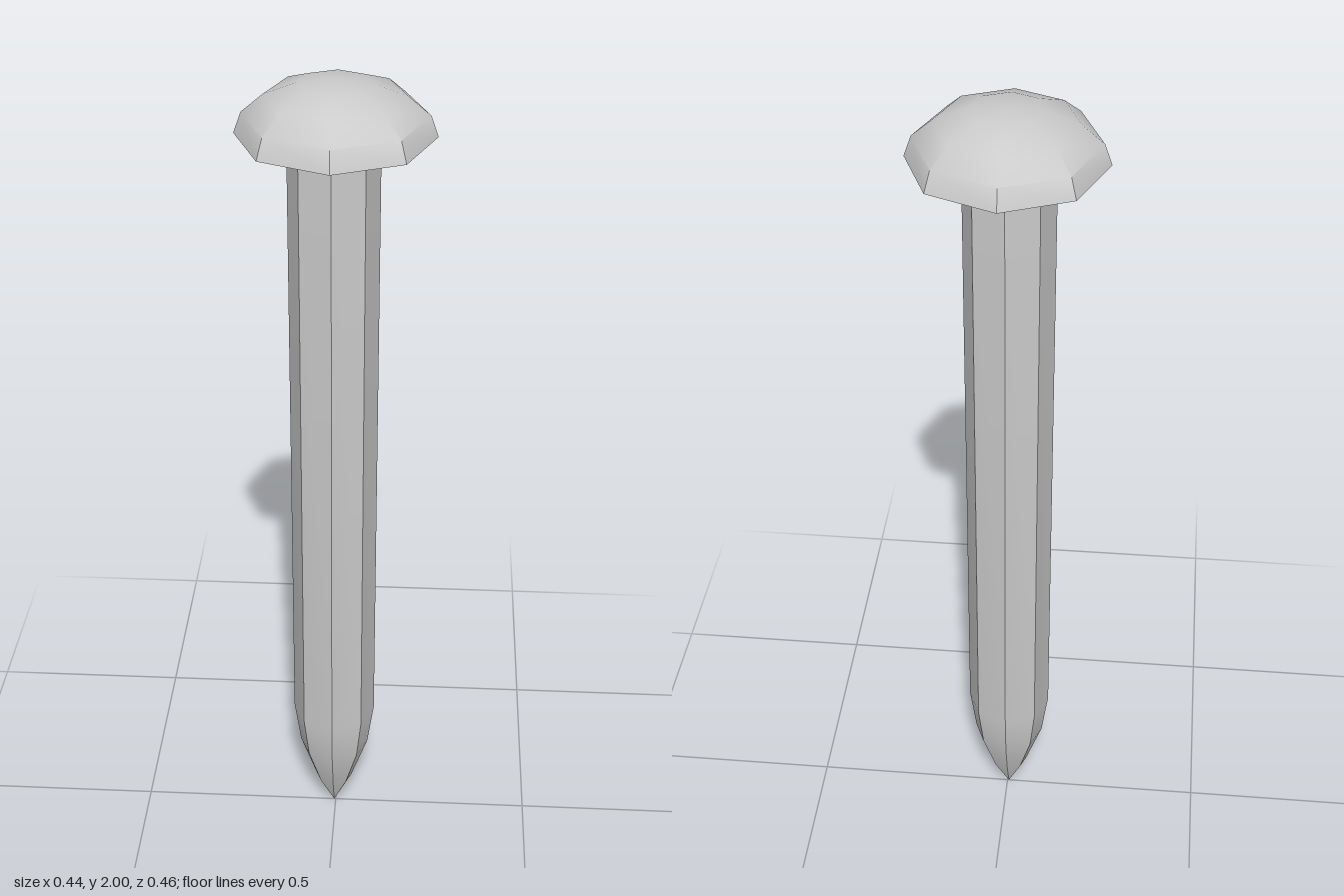
import * as THREE from 'three';
import { toCreasedNormals } from 'three/addons/utils/BufferGeometryUtils.js';

const SIDES = 8;
const material = new THREE.MeshStandardMaterial({ color: 0xcccccc });

// Eight-sided turned part from [radius, height] pairs, listed from the bottom up
function turnedPart(name, profile, crease) {
  const points = profile.map(([r, y]) => new THREE.Vector2(r, y));
  const geometry = toCreasedNormals(new THREE.LatheGeometry(points, SIDES), crease);
  const mesh = new THREE.Mesh(geometry, material);
  mesh.name = name;
  return mesh;
}

export function createModel() {
  const group = new THREE.Group();
  group.name = 'nail';

  // Straight shaft with a rounded taper down to the point
  const shaft = turnedPart('shaft', [
    [0, 0], [0.046, 0.09], [0.087, 0.206], [0.103, 0.32], [0.103, 1.88],
  ], 0.5);
  shaft.position.x = -0.004;
  group.add(shaft);

  // Flat-bottomed dome, slightly deeper than wide
  const base = 1.876, radius = 0.221, height = 0.124;
  const profile = [[0, base]];
  for (let i = 0; i <= 4; i++) {
    const a = (i / 4) * Math.PI / 2;
    profile.push([i === 4 ? 0 : radius * Math.cos(a), base + height * Math.sin(a)]);
  }
  const head = turnedPart('head', profile, 0.6);
  head.scale.z = 1.045;
  group.add(head);

  return group;
}
